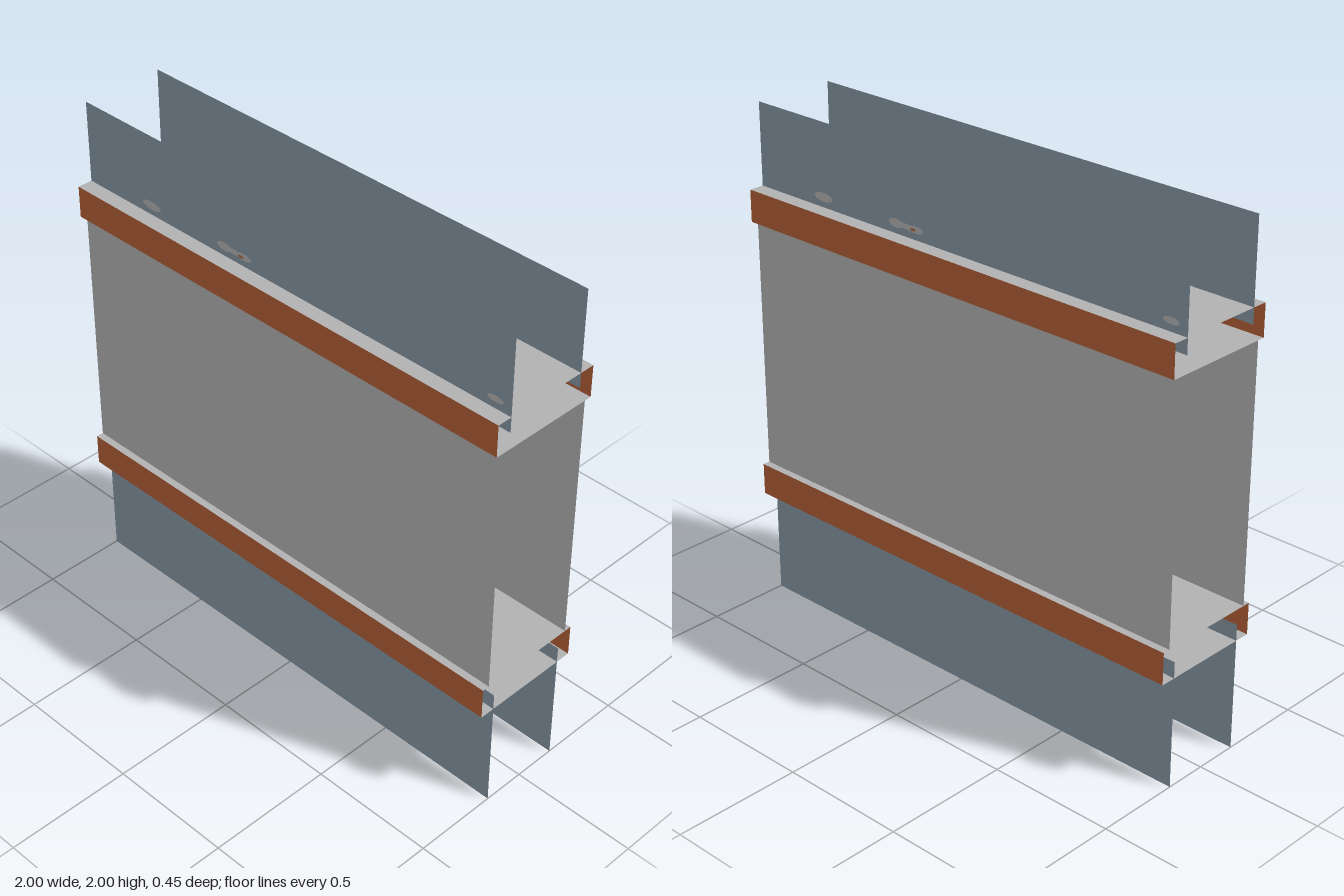
import * as THREE from 'three';

const LENGTH = 2;

function mat(name, color) {
  return new THREE.MeshStandardMaterial({ name, color, side: THREE.DoubleSide });
}

export function createModel() {
  const grey = mat('light grey', 0xb1b1b1);
  const blue = mat('slate blue', 0x8594a1);
  const orange = mat('rust orange', 0xb15e36);
  const model = new THREE.Group();
  model.name = 'girderPanel';

  function add(parent, name, geometry, material) {
    const mesh = new THREE.Mesh(geometry, material);
    mesh.name = name;
    parent.add(mesh);
    return mesh;
  }

  // Upright sheet between two heights
  function wall(parent, name, y0, y1, z, material) {
    const m = add(parent, name, new THREE.PlaneGeometry(LENGTH, y1 - y0), material);
    m.position.set(0, (y0 + y1) / 2, z);
  }

  // Each face is the other turned half a circle
  for (const [label, turn] of [['front', 0], ['back', Math.PI]]) {
    const face = new THREE.Group();
    face.name = label + 'Face';
    face.rotation.y = turn;
    model.add(face);

    wall(face, 'lowerWall', 0, 0.5, 0.167, blue);
    wall(face, 'upperWall', 1.62, 2, 0.167, blue);
    wall(face, 'middleWall', 0.56, 1.555, 0.198, grey);
    wall(face, 'lowerBand', 0.437, 0.562, 0.227, orange);
    wall(face, 'upperBand', 1.555, 1.68, 0.227, orange);

    // Small worn patches on the upper wall: x, half width, half height
    const patches = [
      [-0.667, 0.048, 0.017], [-0.297, 0.036, 0.017], [-0.25, 0.05, 0.011],
      [-0.2, 0.036, 0.014], [0.935, 0.035, 0.013],
    ];
    patches.forEach(([x, rx, ry], i) => {
      const p = add(face, 'wornPatch', new THREE.CircleGeometry(1, 10), grey);
      p.scale.set(rx, ry, 1);
      p.position.set(x, 1.72, 0.17 + i * 0.0003);
    });
    const rust = add(face, 'rustSpot', new THREE.CircleGeometry(1, 8), orange);
    rust.scale.set(0.014, 0.005, 1);
    rust.position.set(-0.212, 1.718, 0.173);
  }

  // Horizontal sheets closing the top and bottom of each channel
  for (const y of [0.437, 0.562, 1.555, 1.68]) {
    const deck = add(model, 'channelSheet', new THREE.PlaneGeometry(LENGTH, 0.454), grey);
    deck.rotation.x = -Math.PI / 2;
    deck.position.y = y;
  }
  return model;
}
